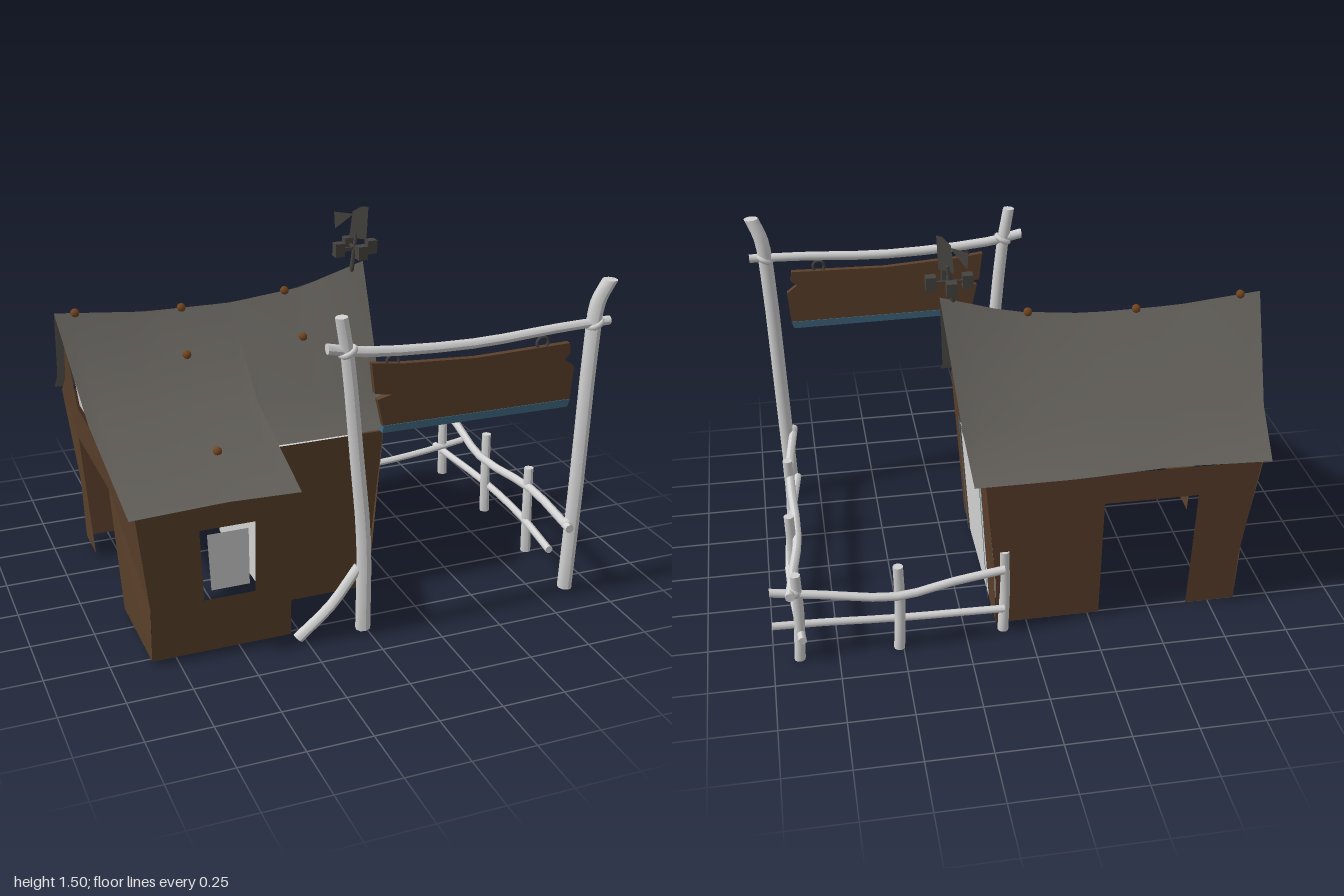
import * as THREE from 'three';

const mat = (name, color, side = THREE.FrontSide) => {
  const m = new THREE.MeshStandardMaterial({ color, side });
  m.name = name;
  return m;
};
const M = {
  wood: mat('brown boards', 0x5b402b, THREE.DoubleSide),
  roof: mat('grey shingles', 0x625f5a, THREE.DoubleSide),
  pale: mat('pale timber', 0xd2d2d2, THREE.DoubleSide),
  blue: mat('blue trim', 0x3f657d, THREE.DoubleSide),
  metal: mat('dark metal', 0x45433f, THREE.DoubleSide),
  rust: mat('rusty knobs', 0x70441f),
};
const V = (x, y, z) => new THREE.Vector3(x, y, z);
const v2 = (list) => list.map(([a, b]) => new THREE.Vector2(a, b));

function add(parent, name, geo, material, pos = [0, 0, 0]) {
  const m = new THREE.Mesh(geo, material);
  m.name = name;
  m.position.set(...pos);
  parent.add(m);
  return m;
}

// piecewise linear lookup
function lerpTable(table, t) {
  for (let i = 1; i < table.length; i++) {
    const [a, va] = table[i - 1], [b, vb] = table[i];
    if (t <= b || i === table.length - 1) return va + (vb - va) * (t - a) / (b - a);
  }
}

// flat outline with holes, bent into place by map(a, b) -> [x, y, z]
function sheet(outline, holes, map) {
  const s = new THREE.Shape(v2(outline));
  holes.forEach((h) => s.holes.push(new THREE.Path(v2(h))));
  let g = new THREE.ShapeGeometry(s);
  const p = g.attributes.position;
  for (let i = 0; i < p.count; i++) p.setXYZ(i, ...map(p.getX(i), p.getY(i)));
  g = g.toNonIndexed();
  g.computeVertexNormals();
  return g;
}

// crooked pole: a capped cylinder bent along a curve
function pole(parent, name, pts, r0, r1 = r0) {
  const curve = new THREE.CatmullRomCurve3(pts.map((p) => V(...p)));
  const dir = curve.getPoint(1).sub(curve.getPoint(0)).normalize();
  const q = new THREE.Quaternion().setFromUnitVectors(V(0, 1, 0), dir);
  const g = new THREE.CylinderGeometry(r1, r0, 1, 9, (pts.length - 1) * 3);
  const p = g.attributes.position;
  for (let i = 0; i < p.count; i++) {
    const v = V(p.getX(i), 0, p.getZ(i)).applyQuaternion(q)
      .add(curve.getPoint(Math.min(1, Math.max(0, p.getY(i) + 0.5))));
    p.setXYZ(i, v.x, v.y, v.z);
  }
  g.computeVertexNormals();
  return add(parent, name, g, M.pale);
}

// leaning end walls
const rightX = (y) => lerpTable([[0, 0.125], [0.24, 0.13], [0.7, 0.17], [1.25, 0.25]], y);
const leftX = (y) => lerpTable([[0, -0.85], [0.24, -0.85], [0.66, -0.9], [1.2, -0.97]], y);
// sagging ridge line
const ridgeY = (x) => lerpTable([[-1, 1.19], [-0.65, 1.155], [-0.3, 1.15], [0, 1.18], [0.27, 1.26]], x);

function walls(g) {
  const loft = [[0.005, 0.74], [-0.01, 0.985], [-0.225, 0.985], [-0.24, 0.74]];
  const pane = [[-0.03, 0.77], [-0.04, 0.96], [-0.2, 0.96], [-0.205, 0.77]];
  const door = [[-0.36, 0.02], [-0.38, 0.555], [0.14, 0.555], [0.135, 0.02]];
  const back = [[-0.41, 0.815], [-0.585, 0.695], [-0.55, 0.3], [-0.53, 0.02]];
  const onRight = (off) => (z, y) => [rightX(y) + off, y, z];
  const onLeft = (off) => (z, y) => [leftX(y) + off, y, z];
  add(g, 'rightGable', sheet([...back.slice().reverse().map((p) => p).reverse(), ...door,
    [0.31, 0.02], [0.33, 0.705], [0.15, 0.825], [-0.13, 1.24]], [loft], onRight(0)), M.wood);
  add(g, 'leftGable', sheet([...back, ...door, [0.55, 0.02], [0.56, 0.24], [0.585, 0.66],
    [0.15, 0.82], [-0.13, 1.18]], [loft], onLeft(0)), M.wood);
  add(g, 'rightLoftPane', sheet(pane, [], onRight(-0.005)), M.pale);
  add(g, 'leftLoftPane', sheet(pane, [], onLeft(0.005)), M.pale);
  // blue door surround
  add(g, 'doorFrame', sheet([[-0.375, 0.02], [-0.405, 0.58], [0.165, 0.58], [0.155, 0.02],
    ...door.slice().reverse()], [], onRight(0.007)), M.blue);
  // pale block closing the doorway
  const block = new THREE.BoxGeometry(0.42, 0.54, 0.51);
  const bp = block.attributes.position;
  for (let i = 0; i < bp.count; i++) if (bp.getX(i) > 0 && bp.getY(i) > 0) bp.setX(i, bp.getX(i) + 0.035);
  add(g, 'doorBlock', block, M.pale, [-0.085, 0.29, -0.115]);

  const frontZ = (x, y) => [x, y, 0.55 + 0.053 * y];
  add(g, 'wingFront', sheet([[-0.85, 0.02], [-0.3, 0.02], [-0.3, 0.66], [-0.9, 0.66], [-0.85, 0.24]],
    [[[-0.645, 0.245], [-0.66, 0.545], [-0.445, 0.545], [-0.445, 0.245]]], frontZ), M.wood);
  add(g, 'wingPane', sheet([[-0.615, 0.28], [-0.63, 0.52], [-0.47, 0.52], [-0.465, 0.28]], [],
    (x, y) => [x, y, 0.545 + 0.053 * y]), M.pale);
  add(g, 'wingSide', sheet([[0.55, 0.02], [0.585, 0.66], [0.17, 0.825], [0.33, 0.71], [0.31, 0.02]], [],
    (z, y) => [-0.3, y, z]), M.wood);
  add(g, 'mainFront', sheet([[-0.3, 0.02], [0.125, 0.02], [0.13, 0.24], [0.17, 0.71], [-0.3, 0.71]], [],
    (x, y) => [x, y, 0.31 + 0.028 * y]), M.wood);
  add(g, 'backWall', sheet([[-0.85, 0.02], [-0.85, 0.24], [-0.9, 0.69], [0.17, 0.695], [0.13, 0.24],
    [0.125, 0.02], [-0.29, 0.02], [-0.29, 0.555], [-0.66, 0.555], [-0.65, 0.02]], [],
  (x, y) => [x, y, -0.53 - 0.08 * y]), M.wood);
}

// roof slope lofted from rows; each row is (x) -> [y, z] with its own end positions
function slope(rows, x0, x1, n = 12) {
  const pos = [], idx = [];
  rows.forEach((row) => {
    for (let i = 0; i <= n; i++) {
      const t = x0 + (x1 - x0) * i / n;
      const x = t < 0 ? t * (1 - row.inset[0]) : t * (1 - row.inset[1]);
      pos.push(x, ...row.at(t));
    }
  });
  for (let r = 0; r < rows.length - 1; r++) {
    for (let i = 0; i < n; i++) {
      const a = r * (n + 1) + i, b = a + n + 1;
      idx.push(a, b, a + 1, a + 1, b, b + 1);
    }
  }
  const g = new THREE.BufferGeometry();
  g.setAttribute('position', new THREE.Float32BufferAttribute(pos, 3));
  g.setIndex(idx);
  g.computeVertexNormals();
  return g;
}

function roof(g) {
  const ridge = { inset: [0, 0], at: (x) => [ridgeY(x), -0.13] };
  const kink = (z) => ({ inset: [0.048, 0.15], at: () => [0.832, z] });
  const eave = (y, z, left = 0.07) => ({ inset: [left, 0.2], at: (x) => [y, z * (1 - 0.04 * Math.max(0, 1 - Math.abs(x + 0.6) * 2.4))] });
  add(g, 'roofBack', slope([eave(0.7, -0.612), kink(-0.41), ridge], -1, 0.27), M.roof);
  add(g, 'roofFrontMain', slope([ridge, kink(0.15), eave(0.718, 0.335, 0)], -0.3, 0.27), M.roof);
  add(g, 'roofFrontWing', slope([ridge, { ...kink(0.15), inset: [0.048, 0] },
    eave(0.655, 0.63)].map((r) => ({ ...r, at: r.at })), -1, -0.3), M.roof);
  [[-0.92, -0.13], [-0.5, -0.13], [-0.07, -0.13], [-0.52, 0], [-0.04, 0], [-0.52, 0.37]].forEach(([x, z]) => {
    const top = ridgeY(x);
    const y = z < 0.15 ? top + (0.832 - top) * (z + 0.13) / 0.28 : 0.75;
    add(g, 'roofKnob', new THREE.SphereGeometry(0.018, 10, 6), M.rust, [x, y, z]);
  });
}

function weatherVane(g) {
  const vane = new THREE.Group();
  vane.name = 'weatherVane';
  vane.position.set(0.232, 0, -0.125);
  g.add(vane);
  const rod = add(vane, 'vaneRod', new THREE.CylinderGeometry(0.007, 0.011, 0.17, 8), M.metal, [-0.005, 1.3, 0]);
  rod.rotation.z = -0.12;
  for (const s of [-1, 1]) {
    add(vane, 'vaneBlock', new THREE.BoxGeometry(0.04, 0.055, 0.04), M.metal, [s * 0.07, 1.32, 0]);
    add(vane, 'vaneBlock', new THREE.BoxGeometry(0.04, 0.055, 0.04), M.metal, [0, 1.32, s * 0.07]);
  }
  add(vane, 'vaneArm', new THREE.BoxGeometry(0.14, 0.01, 0.01), M.metal, [0, 1.32, 0]);
  add(vane, 'vaneArm', new THREE.BoxGeometry(0.01, 0.01, 0.14), M.metal, [0, 1.32, 0]);
  const diagonal = (u, y) => [u, y, u];
  add(vane, 'vanePointer', sheet([[-0.018, 1.36], [0.035, 1.36], [0.04, 1.495], [0.02, 1.495], [-0.008, 1.47]], [], diagonal), M.metal);
  add(vane, 'vaneTail', sheet([[-0.005, 1.46], [-0.065, 1.46], [-0.062, 1.39]], [], diagonal), M.metal);
}

function gateway(g) {
  const z = 0.615;
  pole(g, 'gatePostLeft', [[-0.022, 0.02, 0.605], [-0.028, 0.4, z], [-0.06, 0.75, z], [-0.1, 1.15, z], [-0.128, 1.31, 0.62]], 0.03, 0.024);
  pole(g, 'gatePostRight', [[0.87, 0.02, 0.605], [0.885, 0.5, z], [0.905, 1.08, z], [0.92, 1.24, z], [0.955, 1.33, 0.632]], 0.03, 0.03);
  pole(g, 'gateBrace', [[-0.285, 0.02, 0.59], [-0.15, 0.14, 0.595], [-0.045, 0.29, 0.605]], 0.022, 0.02);
  pole(g, 'gateBeam', [[-0.18, 1.195, z], [-0.03, 1.165, z], [0.4, 1.14, z], [0.75, 1.155, z], [0.975, 1.16, z]], 0.021, 0.018);
  [[-0.1, 1.175], [0.912, 1.155]].forEach(([x, y]) => {
    const wrap = add(g, 'gateLashing', new THREE.TorusGeometry(0.028, 0.012, 6, 12), M.pale, [x, y, z]);
    wrap.rotation.set(Math.PI / 2, 0.5, 0);
  });
  // hanging board with broken ends
  const board = new THREE.ExtrudeGeometry(new THREE.Shape(v2([[0.04, 0.865], [0.82, 0.86], [0.83, 0.995],
    [0.785, 1.03], [0.81, 1.05], [0.805, 1.092], [0.41, 1.085], [0.1, 1.105], [-0.01, 1.12], [0.005, 1.0],
    [0.07, 0.988], [0.015, 0.975]])), { depth: 0.024, bevelEnabled: false });
  add(g, 'hangingBoard', board, M.wood, [0, 0, 0.6]);
  const trim = new THREE.ExtrudeGeometry(new THREE.Shape(v2([[0.035, 0.842], [0.81, 0.832], [0.82, 0.862], [0.04, 0.87]])),
    { depth: 0.03, bevelEnabled: false });
  add(g, 'boardTrim', trim, M.blue, [0, 0, 0.597]);
  for (const [x, y] of [[0.075, 1.115], [0.69, 1.105]]) {
    add(g, 'boardHook', new THREE.TorusGeometry(0.024, 0.006, 6, 14), M.metal, [x, y, z]);
  }
}

function fence(g) {
  // posts: x, z, height
  [[0.095, -0.55, 0.37], [0.51, -0.595, 0.38], [0.895, -0.6, 0.39], [0.9, -0.17, 0.375], [0.887, 0.24, 0.39]]
    .forEach(([x, z, h]) => pole(g, 'fencePost', [[x + 0.005, 0, z], [x - 0.004, h * 0.5, z + 0.008], [x, h, z - 0.004]], 0.022, 0.02));
  // back rails
  pole(g, 'backRail', [[0.1, 0.31, -0.59], [0.3, 0.29, -0.605], [0.52, 0.262, -0.625], [0.8, 0.29, -0.605], [0.995, 0.315, -0.595]], 0.017);
  pole(g, 'backRail', [[0.1, 0.12, -0.58], [0.52, 0.12, -0.568], [0.8, 0.14, -0.575], [0.995, 0.158, -0.592]], 0.015);
  // side rails
  pole(g, 'sideRail', [[0.845, 0.31, 0.655], [0.88, 0.31, 0.28], [0.872, 0.27, -0.17], [0.9, 0.3, -0.45], [0.92, 0.315, -0.64]], 0.018);
  pole(g, 'sideRail', [[0.845, 0.145, 0.51], [0.88, 0.148, 0.22], [0.915, 0.125, -0.18], [0.885, 0.122, -0.655]], 0.016);
  add(g, 'railKnot', new THREE.SphereGeometry(0.026, 10, 8), M.pale, [0.9, 0.31, -0.6]);
  add(g, 'railKnot', new THREE.SphereGeometry(0.024, 10, 8), M.pale, [0.855, 0.315, 0.615]);
}

export function createModel() {
  const root = new THREE.Group();
  root.name = 'barn';
  for (const [name, build] of Object.entries({ walls, roof, weatherVane, gateway, fence })) {
    const part = new THREE.Group();
    part.name = name;
    build(part);
    root.add(part);
  }
  return root;
}
